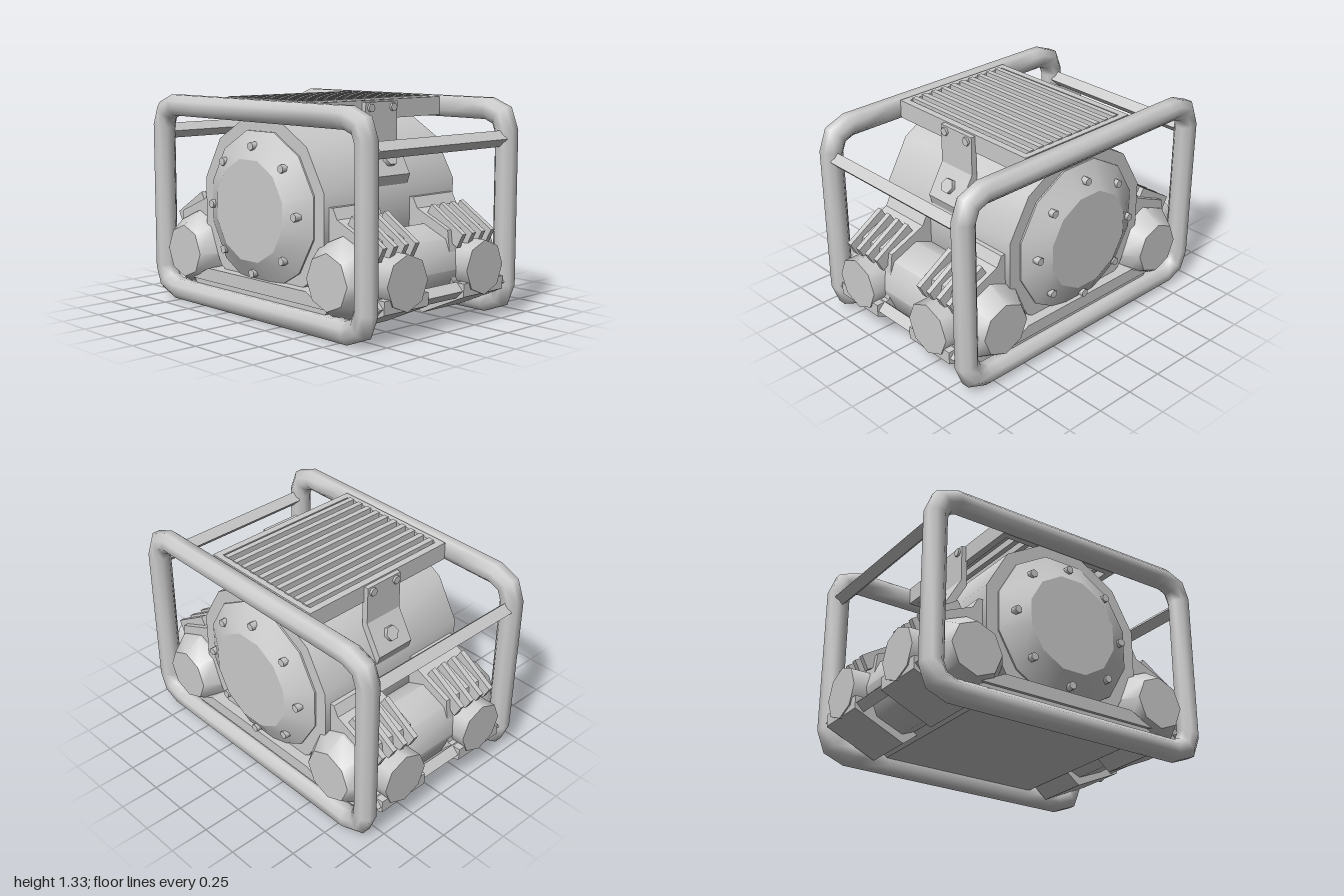
import * as THREE from 'three';
import { toCreasedNormals } from 'three/addons/utils/BufferGeometryUtils.js';

const material = new THREE.MeshStandardMaterial({ color: 0xcccccc });

export function createModel() {
  const model = new THREE.Group();

  const add = (name, geometry, x = 0, y = 0, z = 0) => {
    const mesh = new THREE.Mesh(geometry, material);
    mesh.name = name;
    mesh.position.set(x, y, z);
    model.add(mesh);
    return mesh;
  };

  // Turned part along y; profile is [radius, height] from bottom to top
  const turned = (profile, sides, crease = 0.85) => toCreasedNormals(
    new THREE.LatheGeometry(profile.map(p => new THREE.Vector2(...p)), sides), crease);

  // Outline in x/y (x multiplied by s) extruded from z0 to z1
  const prism = (points, z0, z1, s = 1) => {
    const shape = new THREE.Shape(points.map(([x, y]) => new THREE.Vector2(s * x, y)));
    return new THREE.ExtrudeGeometry(shape, { depth: z1 - z0, bevelEnabled: false }).translate(0, 0, z0);
  };

  // Round tube around a closed counter-clockwise path in x/y with mitred corners,
  // its inner side (-z) flattened along the middle of the long runs
  const loopTube = (path, radius, sides) => {
    const n = path.length, pos = [], index = [];
    const normal = i => {
      const d = path[(i + 1) % n].clone().sub(path[i % n]).normalize();
      return new THREE.Vector2(d.y, -d.x);
    };
    path.forEach((p, i) => {
      const n1 = normal(i + n - 1), n2 = normal(i);
      const m = n1.clone().add(n2).divideScalar(1 + n1.dot(n2));
      for (let j = 0; j < sides; j++) {
        const a = (j + 0.5) / sides * Math.PI * 2, c = Math.cos(a) * radius;
        const z = Math.sin(a) * radius;
        pos.push(p.x + m.x * c, p.y + m.y * c, Math.abs(p.x) < 0.6 ? Math.max(z, -0.044) : z);
        const i2 = (i + 1) % n, j2 = (j + 1) % sides;
        const A = i * sides + j, B = i2 * sides + j, C = i2 * sides + j2, D = i * sides + j2;
        index.push(A, B, C, A, C, D);
      }
    });
    const g = new THREE.BufferGeometry();
    g.setAttribute('position', new THREE.Float32BufferAttribute(pos, 3));
    g.setIndex(index);
    g.computeVertexNormals();
    return g;
  };

  const hexBolt = (r, h) => new THREE.CylinderGeometry(r, r, h, 6).toNonIndexed();

  // Front and rear tubular frames
  const corner = [[0.53, 0.6], [0.72, 0.6], [0.8, 0.6], [0.897, 0.562], [0.935, 0.465]];
  const path = [];
  for (const [sx, sy] of [[1, 1], [-1, 1], [-1, -1], [1, -1]]) {
    const pts = corner.map(([x, y]) => new THREE.Vector2(sx * x, 0.665 + sy * y));
    path.push(...(sx * sy > 0 ? pts.reverse() : pts));
  }
  const frame = loopTube(path, 0.0715, 8);
  add('frontFrame', frame, 0, 0, 0.599);
  add('rearFrame', frame, 0, 0, -0.599).rotation.y = Math.PI;

  // Side rails joining the two frames
  for (const s of [1, -1]) for (const y of [0.215, 1.09]) {
    add('sideRail', new THREE.BoxGeometry(0.07, 0.07, 1.09).rotateZ(Math.PI / 4), s * 0.935, y);
  }

  // Twelve-sided tank with bolted conical end covers
  const k = 1 / Math.cos(Math.PI / 12);
  add('tank', turned([[0, -0.555], [0.55 * k, -0.555], [0.55 * k, 0.555], [0, 0.555]], 12)
    .rotateY(Math.PI / 12).rotateX(Math.PI / 2), 0, 0.67);
  const cover = turned([[0.47 * k, 0.54], [0.47 * k, 0.565], [0.305 * k, 0.66], [0, 0.66]], 12, 0.45)
    .rotateY(Math.PI / 12).rotateX(Math.PI / 2);
  for (const s of [1, -1]) {
    add('endCover', cover, 0, 0.67).rotation.y = s > 0 ? 0 : Math.PI;
    for (let i = 0; i < 8; i++) {
      const a = i * Math.PI / 4;
      add('coverBolt', hexBolt(0.026, 0.06).rotateX(Math.PI / 2),
        Math.sin(a) * 0.385, 0.67 + Math.cos(a) * 0.385, s * 0.615);
    }
  }

  // Base tray with a raised ledge
  add('base', prism([[-0.55, 0.085], [0.55, 0.085], [0.62, 0.145], [0.62, 0.168], [-0.62, 0.168], [-0.62, 0.145]], -0.6, 0.6));
  add('baseLedge', prism([[-0.62, 0.165], [0.62, 0.165], [0.46, 0.247], [-0.46, 0.247]], -0.62, 0.62));

  // Slatted top cover
  for (const s of [1, -1]) {
    add('coverEndRim', new THREE.BoxGeometry(0.86, 0.115, 0.04), 0, 1.2675, s * 0.535);
    add('coverSideRim', new THREE.BoxGeometry(0.045, 0.115, 1.11), s * 0.4075, 1.2675);
  }
  for (let i = 0; i < 10; i++) {
    add('topSlat', new THREE.BoxGeometry(0.036, 0.085, 1.04), (i - 4.5) * 0.077, 1.2905);
  }

  for (const s of [1, -1]) {
    // Bracket holding the cover to the tank
    add('bracket', prism([[0.42, 1.315], [0.46, 1.315], [0.46, 1.07], [0.57, 0.88],
      [0.55, 0.82], [0.5, 0.82], [0.42, 1]], -0.135, 0.135, s));
    for (const z of [0.095, -0.095]) {
      add('bracketBolt', hexBolt(0.027, 0.03).rotateZ(Math.PI / 2), s * 0.46, 1.28, z);
    }
    add('clampBolt', hexBolt(0.048, 0.05).rotateZ(-s * Math.PI / 3), s * 0.52, 0.97, 0);

    // Eight-sided side barrel with tapered ends
    add('sideBarrel', turned([[0, -0.65], [0.168, -0.65], [0.248, -0.53], [0.248, 0.53], [0.168, 0.65], [0, 0.65]], 8, 0.8)
      .rotateX(Math.PI / 2), s * 0.67, 0.335);

    for (const t of [1, -1]) {
      const z = t * 0.335;
      // Valve block
      add('valveBlock', prism([[0.45, 0.735], [0.58, 0.735], [0.615, 0.67], [0.86, 0.565], [0.9, 0.26],
        [0.992, 0.26], [0.992, 0.18], [0.66, 0.03], [0.52, 0.14]], z - 0.18, z + 0.18, s));
      // Outward-facing port
      add('sidePort', turned([[0, 0], [0.168, 0], [0.166, 0.33], [0, 0.33]], 8)
        .rotateZ(-s * Math.PI / 2), s * 0.67, 0.337, z);
      // Cooling fins on the block
      for (let i = 0; i < 4; i++) {
        const fz = z + (i - 1.5) * 0.0875;
        add('blockFin', prism([[0.7, 0.7], [0.655, 0.62], [0.905, 0.46], [0.95, 0.545]], fz - 0.017, fz + 0.017, s));
      }
    }
  }
  return model;
}
